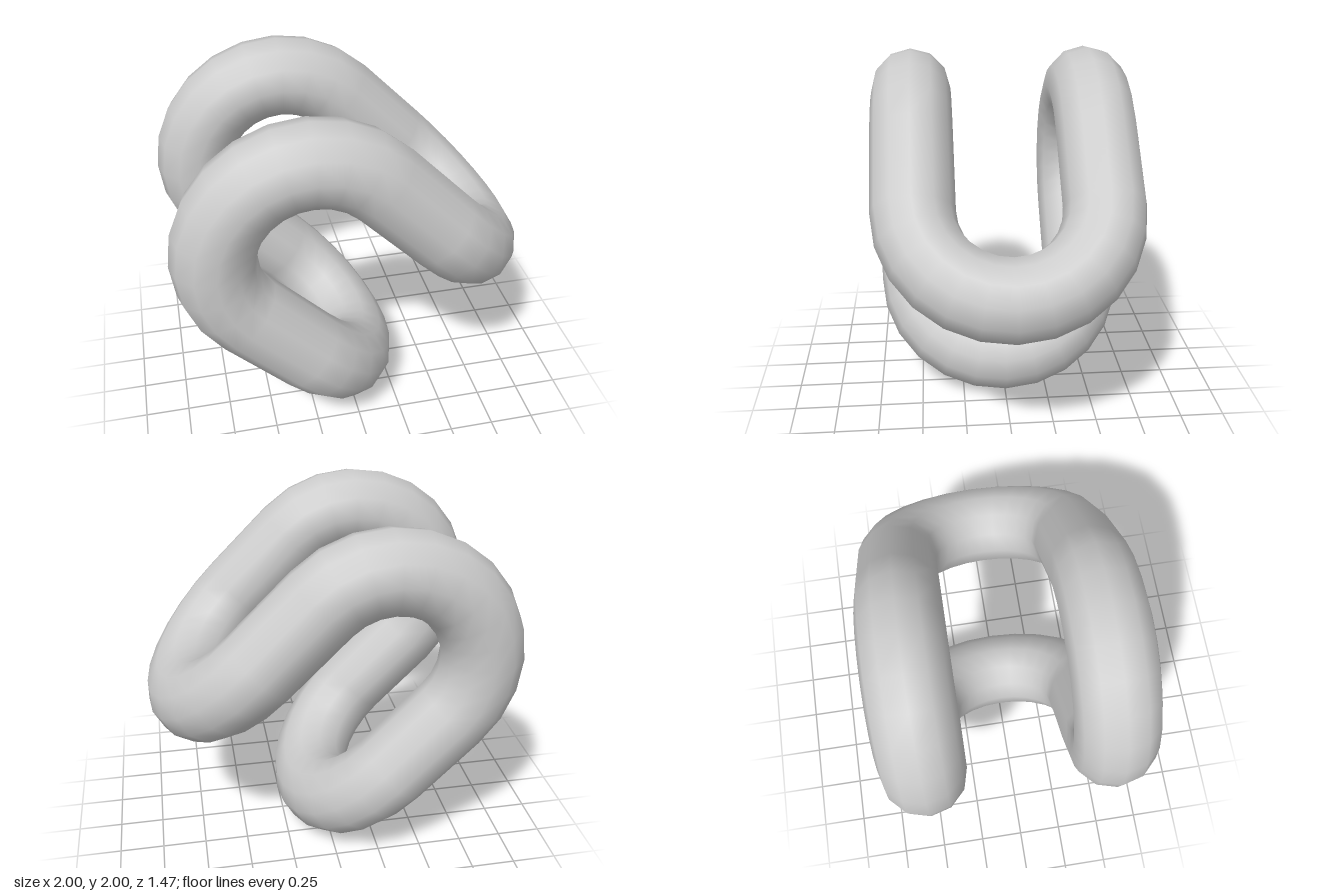
import * as THREE from 'three';

const BEND = 0.508;   // centreline radius of every bend
const TUBE = 0.226;   // tube radius
const LEG = 0.466;    // straight run between bends
const STEPS = 12;     // rings per piece

// Closed centreline: leg, U-bend, leg, end bend, then the same turned half round about x.
class FoldedLoop extends THREE.Curve {
  getPoint(t, target = new THREE.Vector3()) {
    const s = (t * 8) % 8;
    const piece = Math.floor(s) % 4;
    const f = s - Math.floor(s);
    const a = f * Math.PI;
    if (piece === 0) target.set(LEG * (1 - f), BEND, BEND);
    else if (piece === 1) target.set(-BEND * Math.sin(a), BEND * Math.cos(a), BEND);
    else if (piece === 2) target.set(LEG * f, -BEND, BEND);
    else target.set(LEG + BEND * Math.sin(a), -BEND, BEND * Math.cos(a));
    if (s >= 4) {
      target.y *= -1;
      target.z *= -1;
    }
    return target;
  }

  // Equal ring count on each piece, so rings land on the joins
  getUtoTmapping(u) {
    return u;
  }
}

export function createModel() {
  const group = new THREE.Group();
  group.name = 'foldedLoop';

  // One endless round tube, tipped so the legs slope down to the right
  const tube = new THREE.Mesh(
    new THREE.TubeGeometry(new FoldedLoop(), STEPS * 8, TUBE, 12, true),
    new THREE.MeshStandardMaterial({ color: 0xcccccc })
  );
  tube.name = 'loopTube';
  tube.rotation.z = -Math.PI / 4;
  tube.position.set(-0.266, 1.266, 0);
  group.add(tube);

  return group;
}
